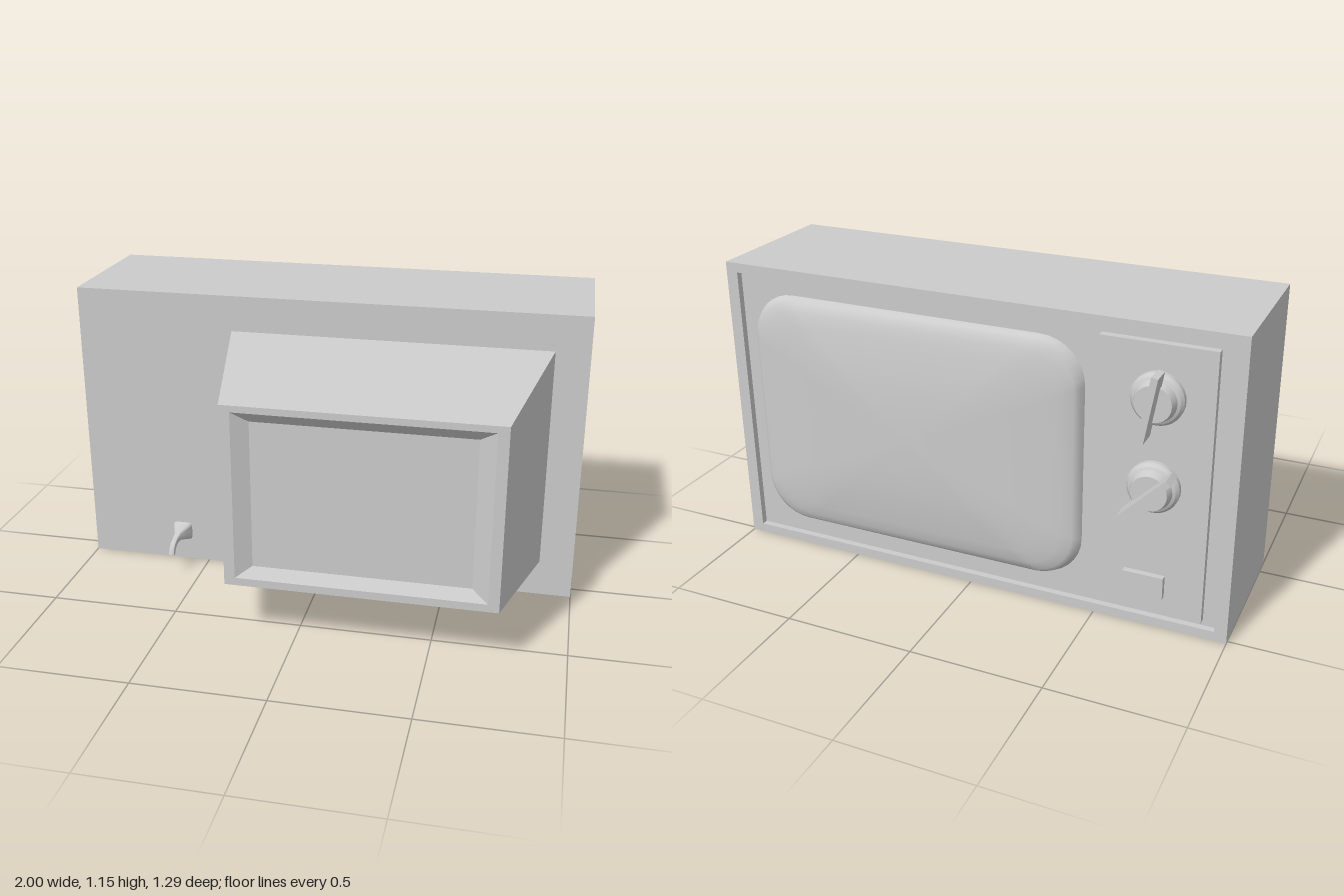
import * as THREE from 'three';
import { toCreasedNormals } from 'three/addons/utils/BufferGeometryUtils.js';

const grey = new THREE.MeshStandardMaterial({ color: 0xcccccc });

function part(name, geometry, parent, x = 0, y = 0, z = 0) {
  const mesh = new THREE.Mesh(geometry, grey);
  mesh.name = name;
  mesh.position.set(x, y, z);
  parent.add(mesh);
  return mesh;
}

// Skin between rings of equal point count (counter-clockwise seen from +z), closed at the far end
function loft(rings) {
  const n = rings[0].length;
  const index = [];
  for (let r = 0; r < rings.length - 1; r++) {
    for (let i = 0; i < n; i++) {
      const a = r * n + i, b = r * n + (i + 1) % n;
      index.push(a, b, b + n, a, b + n, a + n);
    }
  }
  const last = rings[rings.length - 1];
  const centre = last.reduce((c, p) => c.add(p), new THREE.Vector3()).divideScalar(n);
  const start = (rings.length - 1) * n;
  for (let i = 0; i < n; i++) index.push(start + i, start + (i + 1) % n, rings.length * n);
  const geometry = new THREE.BufferGeometry().setFromPoints([...rings.flat(), centre]);
  geometry.setIndex(index);
  geometry.computeVertexNormals();
  return geometry;
}

const rectRing = (x0, x1, y0, y1, z) =>
  [[x0, y0], [x1, y0], [x1, y1], [x0, y1]].map(([x, y]) => new THREE.Vector3(x, y, z));

// Rounded rectangle outline centred on the origin
function roundedRing(w, h, radius, scale, z) {
  const points = [];
  [[1, 1], [-1, 1], [-1, -1], [1, -1]].forEach(([sx, sy], corner) => {
    for (let i = 0; i <= 8; i++) {
      const a = (corner + i / 8) * Math.PI / 2;
      points.push(new THREE.Vector3(
        (sx * (w - radius) + radius * Math.cos(a)) * scale,
        (sy * (h - radius) + radius * Math.sin(a)) * scale, z));
    }
  });
  return points;
}

// Round base with a thin turning grip, facing -z
function knob(name, y, tilt, parent) {
  const group = new THREE.Group();
  group.name = name;
  group.position.set(-0.71, y, -0.515);
  group.rotation.y = Math.PI;
  const profile = [[0.095, 0], [0.095, 0.022], [0.085, 0.035], [0.075, 0.04], [0.065, 0.07], [0, 0.07]]
    .map(([r, h]) => new THREE.Vector2(r, h));
  const base = new THREE.LatheGeometry(profile, 32).rotateX(Math.PI / 2);
  part('knobBase', toCreasedNormals(base, 0.4), group);
  const grip = part('knobGrip', new THREE.BoxGeometry(0.024, 0.24, 0.075), group, 0, 0, 0.0925);
  grip.rotation.z = -tilt;
  parent.add(group);
}

export function createModel() {
  const model = new THREE.Group();
  model.name = 'television';

  // Cabinet shell, open at the screen side around a slightly sunken face
  const outline = new THREE.Shape();
  outline.moveTo(-1, 0).lineTo(1, 0).lineTo(1, 1.155).lineTo(-1, 1.155).closePath();
  const opening = new THREE.Path();
  opening.moveTo(-0.953, 0.037).lineTo(-0.953, 1.118).lineTo(0.953, 1.118).lineTo(0.953, 0.037).closePath();
  outline.holes.push(opening);
  part('cabinet', new THREE.ExtrudeGeometry(outline, { depth: 0.58, bevelEnabled: false }), model, 0, 0, -0.515);
  part('facePanel', new THREE.BoxGeometry(1.906, 1.081, 0.555), model, 0, 0.5775, -0.2125);

  // Tapered tube housing with a shallow bevelled recess
  const housing = loft([
    rectRing(-0.37, 0.87, 0.145, 1.015, 0.065),
    rectRing(-0.25, 0.75, 0.23, 0.93, 0.645),
    rectRing(-0.21, 0.71, 0.26, 0.905, 0.645),
    rectRing(-0.15, 0.65, 0.30, 0.865, 0.615),
  ]);
  part('tubeHousing', toCreasedNormals(housing, 0.1), model);

  // Domed screen: scaled rounded outlines rising to the middle
  const dome = [[1, 0], [0.985, 0.022], [0.96, 0.035], [0.9, 0.047], [0.8, 0.057], [0.6, 0.07], [0.42, 0.078], [0.2, 0.082], [0.02, 0.083]];
  const screen = part('screen', loft(dome.map(([s, z]) => roundedRing(0.67, 0.47, 0.17, s, z))), model, 0.23, 0.58, -0.49);
  screen.rotation.y = Math.PI;

  // Control plate, knobs and button
  part('controlPlate', new THREE.BoxGeometry(0.41, 1.03, 0.03), model, -0.70, 0.575, -0.504);
  knob('upperKnob', 0.9, 0.17, model);
  knob('lowerKnob', 0.57, Math.PI / 4, model);
  part('button', new THREE.BoxGeometry(0.15, 0.085, 0.03), model, -0.69, 0.18, -0.527);

  // Cord stub: thick at the cabinet, thinning and bending down at the tip
  const stub = [
    [0.065, 0.128, 0.04, 0.038, 0], [0.1, 0.13, 0.027, 0.026, 0], [0.13, 0.132, 0.014, 0.016, 0.1],
    [0.165, 0.129, 0.011, 0.012, 0.25], [0.19, 0.121, 0.011, 0.012, 0.6], [0.205, 0.108, 0.011, 0.011, 1.1],
    [0.212, 0.09, 0.011, 0.011, 1.5],
  ];
  const stubRings = stub.map(([z, y, w, h, bend]) =>
    roundedRing(w, h, 0.4 * Math.min(w, h), 1, 0).map(p =>
      p.applyAxisAngle(new THREE.Vector3(1, 0, 0), bend).add(new THREE.Vector3(-0.61, y, z))));
  part('cordStub', toCreasedNormals(loft(stubRings), 0.8), model);

  return model;
}
